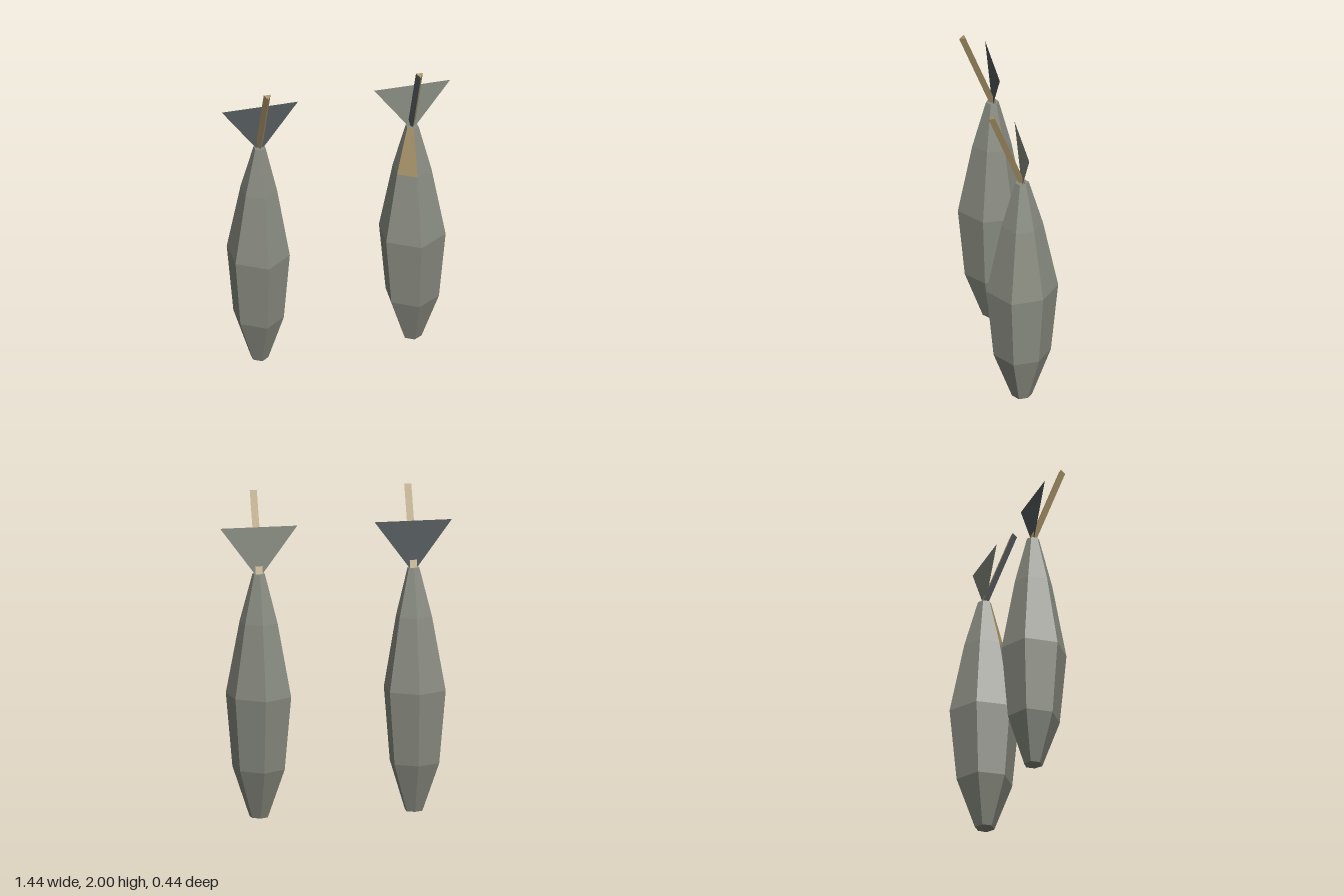
import * as THREE from 'three';

const flat = (name, color, extra = {}) =>
  Object.assign(new THREE.MeshStandardMaterial({ color, flatShading: true, ...extra }), { name });

// Mesh from polygons, each a list of [x, y, z] corners, counter-clockwise from outside
function facets(name, polygons, material) {
  const pos = [];
  for (const p of polygons)
    for (let i = 1; i < p.length - 1; i++) pos.push(...p[0], ...p[i], ...p[i + 1]);
  const g = new THREE.BufferGeometry();
  g.setAttribute('position', new THREE.Float32BufferAttribute(pos, 3));
  g.computeVertexNormals();
  const mesh = new THREE.Mesh(g, material);
  mesh.name = name;
  return mesh;
}

// Side quads between successive rings, tagged with ring and column
function loft(rings) {
  const quads = [];
  for (let r = 0; r < rings.length - 1; r++) {
    const a = rings[r], b = rings[r + 1], n = a.length;
    for (let c = 0; c < n; c++) {
      const d = (c + 1) % n;
      quads.push({ r, c, corners: [a[c], a[d], b[d], b[c]] });
    }
  }
  return quads;
}

export function createModel() {
  const skin = flat('grey skin', 0x8a8d82);
  const wood = flat('tan wood', 0xa79268);
  const tailLight = flat('grey tail', 0x8a8d81, { side: THREE.DoubleSide });
  const tailDark = flat('dark slate', 0x545a5c, { side: THREE.DoubleSide });

  // Body profile: height and scale of the widest section
  const profile = [[0, 0.28], [0.305, 0.8], [0.76, 1], [1.215, 0.58], [1.515, 0.19]];

  // Widest section of each body as [x, z], starting at the front and going to +x
  const fish = [
    { name: 'leftFish', x: 0.48, tail: tailLight, patch: true, section:
      [[0, 0.22], [0.185, 0.1], [0.165, -0.1], [0, -0.225], [-0.18, -0.11], [-0.19, 0.1]] },
    { name: 'rightFish', x: -0.48, tail: tailDark, patch: false, section:
      [[0, 0.215], [0.165, 0.09], [0.165, -0.1], [0, -0.2], [-0.18, -0.11], [-0.18, 0.1]] },
  ];

  const model = new THREE.Group();
  model.name = 'hangingFishPair';

  for (const f of fish) {
    const group = new THREE.Group();
    group.name = f.name;
    group.position.x = f.x;

    // Six-sided body with closed ends; one upper front facet may be tan
    const rings = profile.map(([y, s]) => f.section.map(([x, z]) => [x * s, y, z * s]));
    const quads = loft(rings);
    const isPatch = (q) => f.patch && q.r === 3 && q.c === 5;
    const shell = quads.filter((q) => !isPatch(q)).map((q) => q.corners);
    shell.push([...rings[0]].reverse(), rings[4]);
    group.add(facets('body', shell, skin));
    const patch = quads.filter(isPatch).map((q) => q.corners);
    if (patch.length) group.add(facets('tanPatch', patch, wood));

    // Flat triangular tail fin
    group.add(facets('tailFin', [[[0, 1.48, 0], [0.24, 1.805, 0], [-0.24, 1.805, 0]]], f.tail));

    // Leaning three-sided stick, its ridge to the front
    const stickRing = (y, z) =>
      [[0, y - 0.013, z + 0.034], [0.022, y, z], [-0.022, y, z]];
    const stick = [stickRing(1.51, -0.02), stickRing(2, 0.173)];
    const sides = loft(stick);
    const isDark = (q) => f.patch && q.c === 2;
    group.add(facets('stick', [
      ...sides.filter((q) => !isDark(q)).map((q) => q.corners),
      [...stick[0]].reverse(), stick[1],
    ], wood));
    const darkSide = sides.filter(isDark).map((q) => q.corners);
    if (darkSide.length) group.add(facets('stickDarkSide', darkSide, tailDark));

    model.add(group);
  }
  return model;
}
